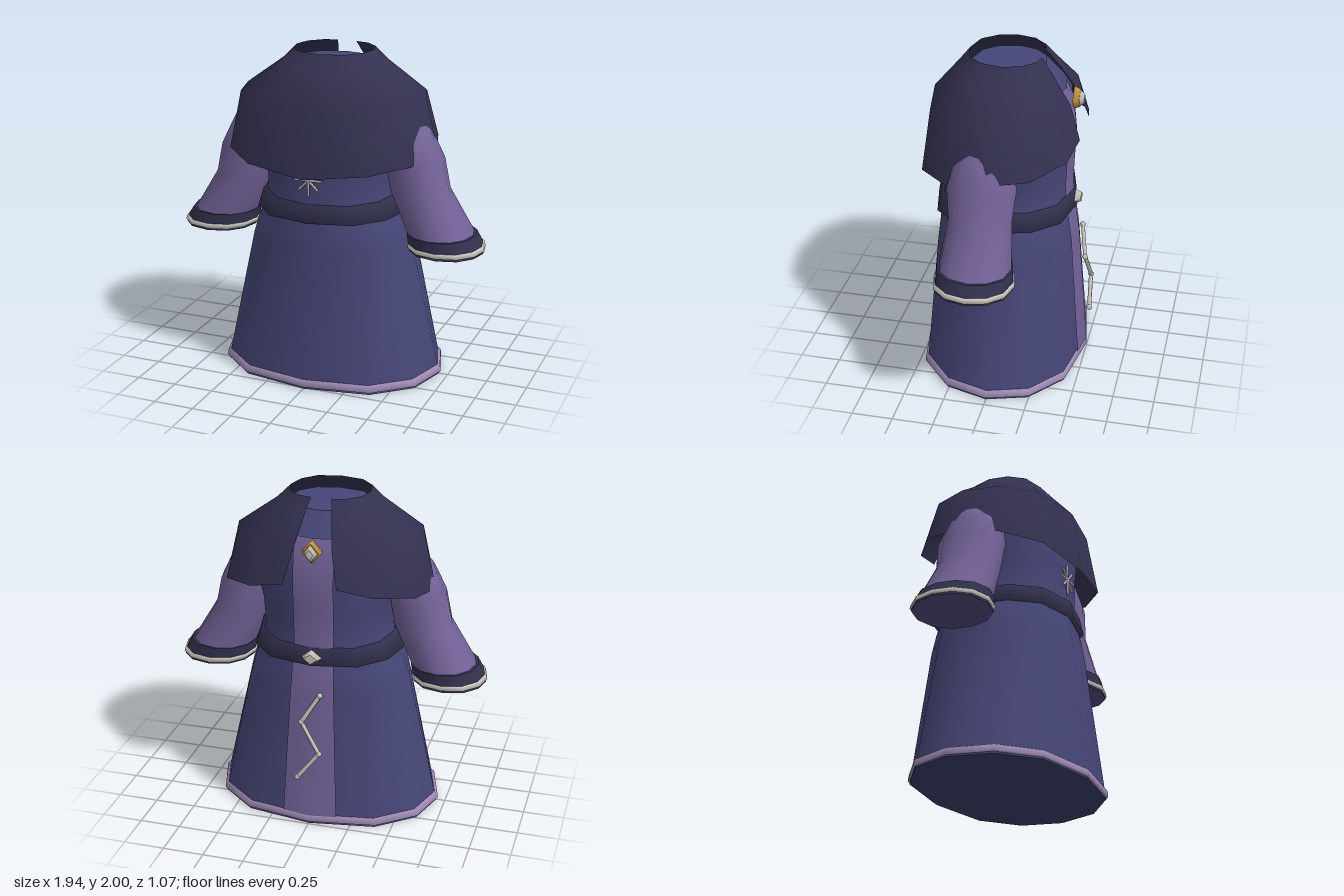
import * as THREE from 'three';

const mat = (name, color, side = THREE.FrontSide) => {
  const m = new THREE.MeshStandardMaterial({ color, side });
  m.name = name;
  return m;
};

// Cross-section: half width, front and back depth, centre x and z, roundness
function ring(y, rx, zf, zb, cx = 0, cz = 0, power = 0.8, n = 12) {
  return Array.from({ length: n }, (_, i) => {
    const a = (i / n) * Math.PI * 2, s = Math.sin(a), c = Math.cos(a);
    return [cx + rx * Math.sign(s) * Math.abs(s) ** power, y, cz + c * (c > 0 ? zf : zb)];
  });
}

// Skin a list of rows, ordered bottom to top
function loft(rows, closed = true) {
  const n = rows[0].length, index = [];
  for (let r = 0; r < rows.length - 1; r++) {
    for (let j = 0; j < (closed ? n : n - 1); j++) {
      const a = r * n + j, b = r * n + ((j + 1) % n);
      index.push(a, b, b + n, a, b + n, a + n);
    }
  }
  return finish(rows.flat(), index);
}

// Flat fan closing a ring
function cap(row, up) {
  const index = [];
  for (let j = 1; j < row.length - 1; j++) index.push(0, up ? j : j + 1, up ? j + 1 : j);
  return finish(row, index);
}

function finish(points, index) {
  const g = new THREE.BufferGeometry();
  g.setAttribute('position', new THREE.Float32BufferAttribute(points.flat(), 3));
  g.setIndex(index);
  g.computeVertexNormals();
  return g;
}

export function createModel() {
  const root = new THREE.Group();
  root.name = 'robe';
  const cloth = mat('blue cloth', 0x464678);
  const purple = mat('purple cloth', 0x736298);
  const capeCloth = mat('dark cape', 0x333150, THREE.DoubleSide);
  const dark = mat('dark band', 0x32314e);
  const hemLining = mat('hem lining', 0x3a4069);
  const cuffLining = mat('cuff lining', 0x514a7c);
  const trim = mat('lilac trim', 0xa08cb6);
  const silver = mat('silver', 0xcac6c0);
  const gold = mat('gold', 0xc8963f);
  const starMat = mat('pale stitching', 0xb8a6ba);

  const add = (name, geometry, material, parent = root) => {
    const m = new THREE.Mesh(geometry, material);
    m.name = name;
    parent.add(m);
    return m;
  };

  // Robe body: y, half width, front depth, back depth
  const profile = [
    [0, 0.695, 0.515, 0.49], [0.85, 0.5, 0.445, 0.425], [0.98, 0.46, 0.43, 0.405],
    [1.08, 0.41, 0.415, 0.39], [1.2, 0.395, 0.405, 0.38], [1.35, 0.405, 0.405, 0.385],
    [1.52, 0.45, 0.41, 0.395], [1.7, 0.46, 0.39, 0.375], [1.8, 0.36, 0.33, 0.325],
    [1.93, 0.25, 0.23, 0.215],
  ];
  const body = profile.map(p => ring(...p));
  add('robeBody', loft(body), cloth);
  add('robeTop', cap(body[body.length - 1], true), cloth);
  add('robeUnderside', cap(body[0], false), hemLining);

  // Hem trim
  const hem = [ring(0.01, 0.695, 0.515, 0.49), ring(0.016, 0.705, 0.528, 0.5),
    ring(0.05, 0.7, 0.525, 0.497), ring(0.058, 0.68, 0.51, 0.485)];
  add('hemTrim', loft(hem), trim);

  // Belt with its thin upper and lower edges
  add('belt', loft([ring(1.035, 0.4, 0.4, 0.37), ring(1.035, 0.462, 0.452, 0.418),
    ring(1.14, 0.43, 0.432, 0.405), ring(1.14, 0.38, 0.39, 0.365)]), dark);

  // Back panel follows the back of the body
  const panelRows = profile.slice(0, 9).map(([y, rx, , zb], i) => {
    const w = i < 3 ? 0.168 - y * 0.04 : 0.122;
    const yRow = Math.max(y, 0.058);
    const zEdge = -zb * (1 - 0.134 * w / (0.574 * rx)) - 0.009;
    return [[w, yRow, zEdge], [0, yRow, -zb - 0.009], [-w, yRow, zEdge]];
  });
  add('backPanel', loft(panelRows, false), purple);

  // Cape: open down the back, with a hem that dips at the front
  const drop = [1.32, 1.36, 1.39, 1.44, 1.46, 1.5, 1.545];
  const capeRow = (y, rx, zf, zb, gap) => {
    const r = ring(0, rx, zf, zb);
    const row = [7, 8, 9, 10, 11, 0, 1, 2, 3, 4, 5].map(i =>
      [r[i][0], y ?? drop[i > 6 ? 12 - i : i], r[i][2]]);
    const yEdge = y ?? drop[6], z = -zb * (1 - 0.134 * gap / (0.574 * rx));
    return [[-gap, yEdge, z], ...row, [gap, yEdge, z]];
  };
  add('cape', loft([capeRow(null, 0.648, 0.517, 0.475, 0.16), capeRow(1.74, 0.575, 0.46, 0.4, 0.115),
    capeRow(1.92, 0.325, 0.305, 0.275, 0.08), capeRow(2, 0.245, 0.24, 0.21, 0.06)], false), capeCloth);

  // Sleeves with banded cuffs
  for (const side of [-1, 1]) {
    const arm = new THREE.Group();
    arm.name = side > 0 ? 'leftSleeve' : 'rightSleeve';
    root.add(arm);
    // inner and outer x, half depth
    const section = (y, x0, x1, rz) =>
      ring(y, (x1 - x0) / 2, rz, rz, side * (x0 + x1) / 2, 0.052, 0.9);
    add('sleeve', loft([section(0.93, 0.51, 0.91, 0.215), section(1.2, 0.39, 0.745, 0.188),
      section(1.38, 0.36, 0.703, 0.207), section(1.5, 0.35, 0.645, 0.178),
      section(1.56, 0.34, 0.62, 0.13), section(1.66, 0.34, 0.53, 0.08)]), purple, arm);
    const cuff = [section(0.845, 0.515, 0.965, 0.231), section(0.885, 0.508, 0.955, 0.23),
      section(0.95, 0.497, 0.915, 0.225)];
    add('cuff', loft(cuff), dark, arm);
    add('cuffTop', cap(cuff[2], true), dark, arm);
    add('cuffUnderside', cap(cuff[0], false), cuffLining, arm);
    add('cuffBand', loft([section(0.858, 0.53, 0.95, 0.22), section(0.86, 0.506, 0.971, 0.239),
      section(0.886, 0.5, 0.963, 0.237), section(0.888, 0.525, 0.935, 0.22)]), silver, arm);
  }

  // Bevelled diamond stones on the back
  const stone = (name, y, z, w, h, depth, bevel, material) => {
    const g = new THREE.CylinderGeometry(bevel, 1, 1, 4).rotateX(-Math.PI / 2);
    const m = add(name, g, material);
    m.position.set(0, y, z);
    m.scale.set(w, h, depth);
  };
  stone('broochSetting', 1.74, -0.4, 0.062, 0.072, 0.036, 0.8, gold);
  stone('broochStone', 1.738, -0.43, 0.042, 0.053, 0.028, 0.6, silver);
  stone('beltBuckle', 1.086, -0.424, 0.062, 0.048, 0.036, 0.65, silver);

  // Thin rod between two points
  const rod = (name, a, b, radius, material) => {
    const d = b.clone().sub(a);
    const m = add(name, new THREE.CylinderGeometry(radius, radius, d.length(), 6), material);
    m.position.copy(a).add(b).multiplyScalar(0.5);
    m.quaternion.setFromUnitVectors(new THREE.Vector3(0, 1, 0), d.normalize());
  };

  // Zigzag chain on the back panel
  const knots = [[-0.06, 0.86, -0.445], [0.045, 0.69, -0.482], [-0.07, 0.5, -0.505], [0.06, 0.335, -0.52]]
    .map(p => new THREE.Vector3(...p));
  knots.forEach((k, i) => {
    add('chainKnot', new THREE.OctahedronGeometry(0.019, 1), silver).position.copy(k);
    if (i) rod('chainLink', knots[i - 1], k, 0.013, silver);
  });

  // Stitched star on the front
  for (let i = 0; i < 4; i++) {
    const a = (i * Math.PI) / 4, r = i === 2 ? 0.1 : 0.083;
    const v = new THREE.Vector3(Math.cos(a) * r, Math.sin(a) * r, 0);
    const c = new THREE.Vector3(0, 1.29, 0.418);
    rod('starRay', c.clone().sub(v), c.clone().add(v), 0.008, starMat);
  }
  return root;
}
